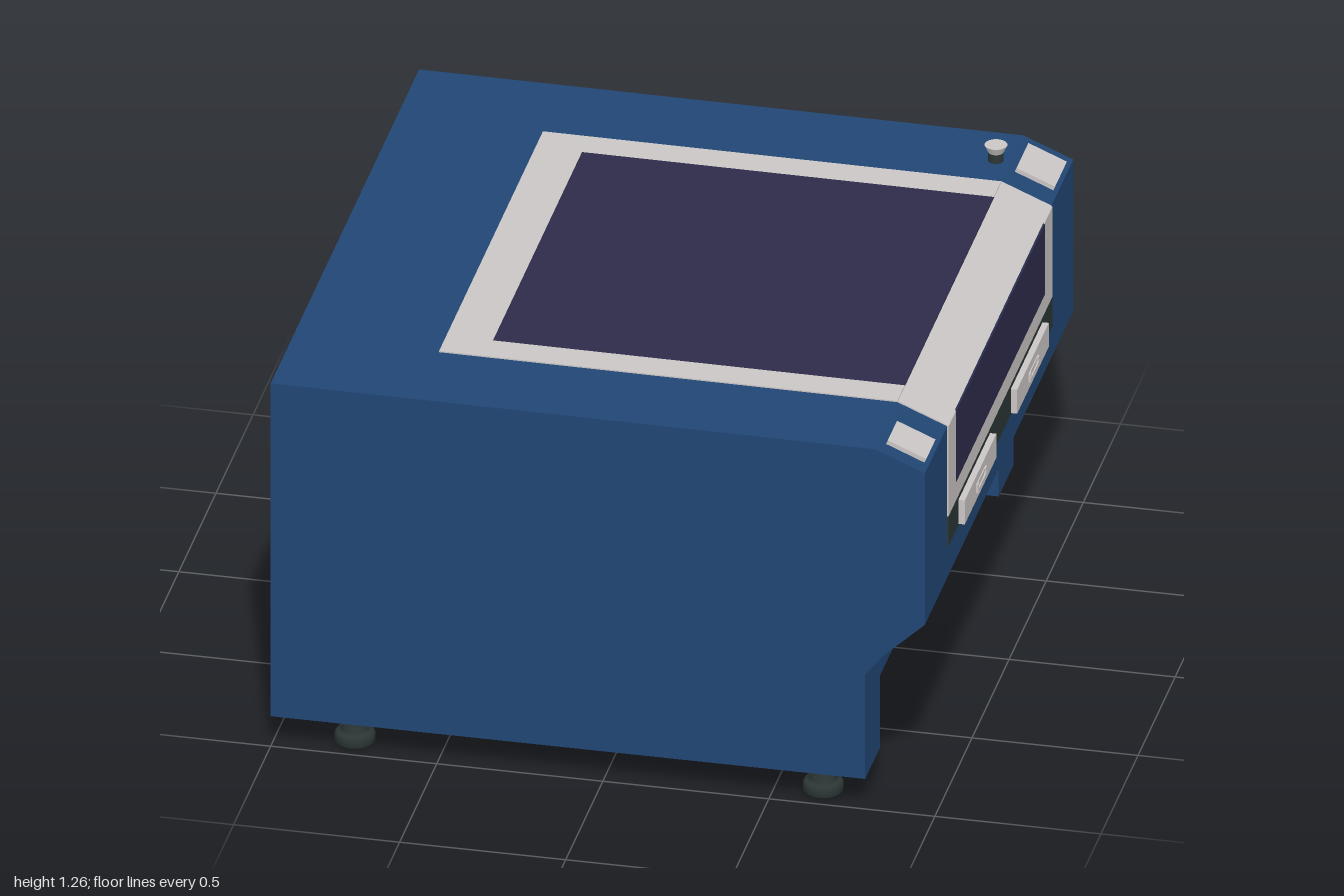
import * as THREE from 'three';

const mat = (name, color) => {
  const m = new THREE.MeshStandardMaterial({ color });
  m.name = name;
  return m;
};

export function createModel() {
  const blue = mat('blue paint', 0x214674);
  const grey = mat('light grey', 0xcac6c5);
  const glass = mat('dark violet glass', 0x2e2b4a);
  const dark = mat('dark rubber', 0x2c3735);
  const root = new THREE.Group();
  root.name = 'laserCutter';

  const add = (name, geo, material, x = 0, y = 0, z = 0, parent = root) => {
    const m = new THREE.Mesh(geo, material);
    m.name = name;
    m.position.set(x, y, z);
    parent.add(m);
    return m;
  };
  // box given by its min and max corners
  const block = (name, material, x0, x1, y0, y1, z0, z1) =>
    add(name, new THREE.BoxGeometry(x1 - x0, y1 - y0, z1 - z0), material,
      (x0 + x1) / 2, (y0 + y1) / 2, (z0 + z1) / 2);
  // thin plate lying along a segment of the cabinet profile
  const plate = (name, material, [ax, ay], [bx, by], z0, z1, t = 0.008) => {
    const len = Math.hypot(bx - ax, by - ay);
    const m = add(name, new THREE.BoxGeometry(len, t, z1 - z0), material,
      (ax + bx) / 2, (ay + by) / 2, (z0 + z1) / 2);
    m.rotation.z = Math.atan2(by - ay, bx - ax);
    return m;
  };

  // cabinet: side profile extruded across the full width
  const profile = [[-1, 0.34], [0.79, 0.34], [0.79, 0.45], [0.845, 0.518], [0.97, 0.635],
    [0.97, 1.14], [0.82, 1.203], [-1, 1.21]];
  const shape = new THREE.Shape(profile.map(p => new THREE.Vector2(...p)));
  const cabinet = new THREE.ExtrudeGeometry(shape, { depth: 2, bevelEnabled: false });
  add('cabinet', cabinet, blue, 0, 0, -1);
  for (const s of [-1, 1]) {
    add('sideSkirt', new THREE.BoxGeometry(1.79, 0.24, 0.2), blue, -0.105, 0.22, s * 0.9);
  }

  // lid: frame and window wrapping from the top over the bevel to the front
  const top = x => [x, 1.21 - 0.007 * (x + 1) / 1.82];
  const front = y => [0.97, y];
  plate('lidBackFrame', grey, top(-0.56), top(-0.42), -0.7, 0.7);
  plate('lidTopWindow', glass, top(-0.42), top(0.82), -0.6, 0.6);
  plate('lidBevelFrame', grey, top(0.82), front(1.14), -0.7, 0.7);
  plate('lidFrontWindow', glass, front(1.135), front(0.9), -0.6, 0.6);
  plate('lidBottomFrame', grey, front(0.9), front(0.84), -0.7, 0.7);
  plate('drawerBand', dark, front(0.84), front(0.74), -0.7, 0.7);
  for (const [z0, z1] of [[-0.7, -0.6], [0.6, 0.7]]) {
    plate('lidSideFrame', grey, top(-0.42), top(0.82), z0, z1);
    plate('lidFrontSideFrame', grey, front(1.14), front(0.9), z0, z1);
  }

  // drawers, each with a bar handle on two short posts
  const drawer = (x0, x1, y0, y1, zc, half, grip) => {
    const yc = (y0 + y1) / 2;
    block('drawerFront', grey, x0, x1, y0, y1, zc - half, zc + half);
    block('drawerHandle', grey, x1 + 0.003, x1 + 0.007, yc - 0.013, yc - 0.003, zc - grip, zc + grip);
    for (const s of [-1, 1]) {
      const z = zc + s * (grip - 0.008);
      block('handlePost', grey, x1, x1 + 0.006, yc - 0.013, yc + 0.013, z - 0.008, z + 0.008);
    }
    block('handleTop', grey, x1, x1 + 0.003, yc + 0.005, yc + 0.013, zc - grip, zc + grip);
  };
  for (const s of [-1, 1]) drawer(0.965, 0.993, 0.745, 0.825, s * 0.353, 0.213, 0.062);
  drawer(0.785, 0.802, 0.365, 0.445, 0, 0.282, 0.083);

  // control panels on the bevel
  const bevel = x => [x, 1.14 + (0.97 - x) * 0.42 + 0.004];
  plate('controlPanel', grey, bevel(0.842), bevel(0.958), -0.95, -0.79, 0.02);
  plate('statusPanel', grey, bevel(0.842), bevel(0.958), 0.82, 0.945, 0.02);

  // stop button
  add('buttonStem', new THREE.CylinderGeometry(0.023, 0.023, 0.035, 16), dark, 0.775, 1.216, -0.83);
  add('buttonHead', new THREE.CylinderGeometry(0.034, 0.022, 0.026, 16), grey, 0.775, 1.243, -0.83);

  // levelling feet
  const footProfile = [[0, 0], [0.05, 0], [0.06, 0.008], [0.06, 0.032], [0.052, 0.042],
    [0.037, 0.044], [0.037, 0.11]].map(p => new THREE.Vector2(...p));
  const foot = new THREE.LatheGeometry(footProfile, 20);
  for (const x of [-0.765, 0.645])
    for (const z of [-0.915, 0.915]) add('foot', foot, dark, x, 0, z);

  return root;
}
